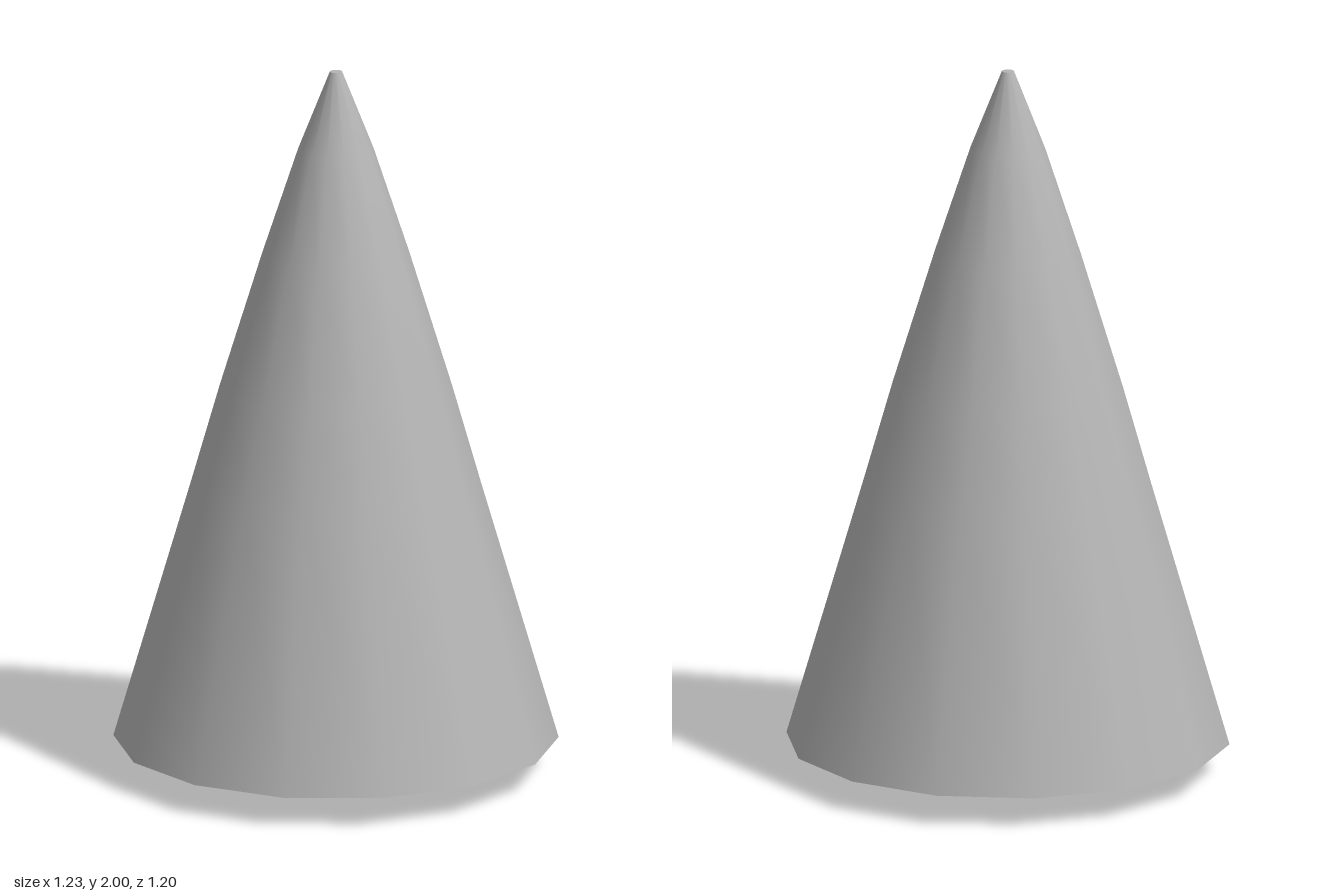
import * as THREE from 'three';

export function createModel() {
  const model = new THREE.Group();
  const grey = new THREE.MeshStandardMaterial({ color: 0xb4b4b4, side: THREE.DoubleSide });
  grey.name = 'grey';

  const add = (name, geometry, y = 0) => {
    const mesh = new THREE.Mesh(geometry, grey);
    mesh.name = name;
    mesh.position.y = y;
    model.add(mesh);
    return mesh;
  };

  // Hollow foliage cone, open underneath, tapering faster near the tip
  const profile = [[0.615, 0.085], [0.4, 0.82], [0.32, 1.1], [0.203, 1.48], [0.104, 1.78], [0.017, 2]]
    .map(([r, y]) => new THREE.Vector2(r, y));
  add('foliage', new THREE.LatheGeometry(profile, 14, Math.PI / 2));

  // Flat cap closing the tip
  add('tipCap', new THREE.CircleGeometry(0.017, 14).rotateX(-Math.PI / 2), 2);

  // Short hexagonal trunk reaching a little way into the cone
  add('trunk', new THREE.CylinderGeometry(0.063, 0.063, 0.16, 6, 1, false, Math.PI / 2), 0.08);

  return model;
}
